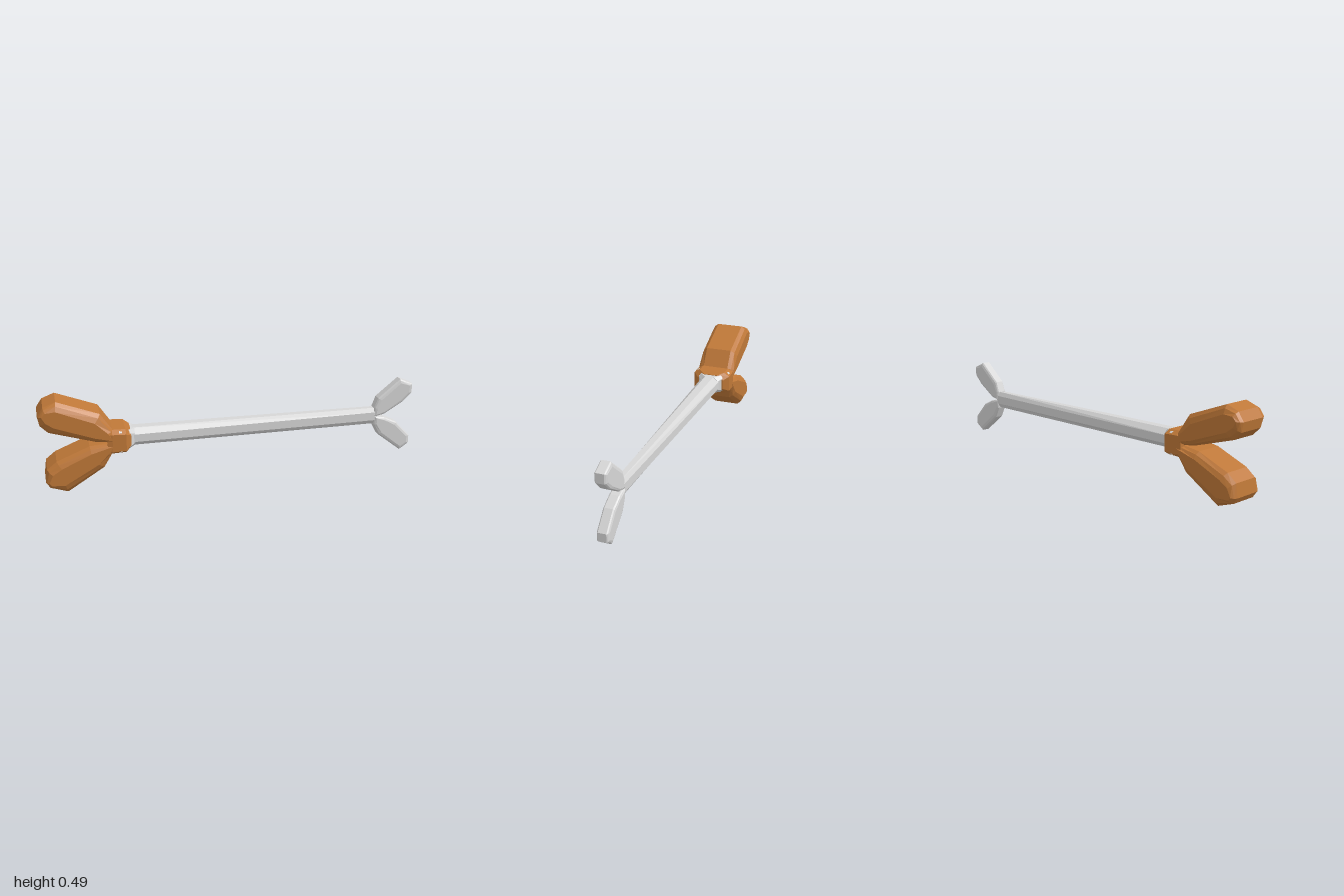
import * as THREE from 'three';

// Closed loft through rings of [x, y, z] points, with flat end caps
function loft(rings) {
  const n = rings[0].length, p = [], idx = [];
  rings.forEach(r => r.forEach(v => p.push(...v)));
  for (let i = 0; i < rings.length - 1; i++) {
    for (let j = 0; j < n; j++) {
      const a = i * n + j, b = i * n + (j + 1) % n;
      idx.push(a, b, b + n, a, b + n, a + n);
    }
  }
  [0, rings.length - 1].forEach(k => {
    const c = p.length / 3;
    for (let a = 0; a < 3; a++) p.push(rings[k].reduce((s, v) => s + v[a], 0) / n);
    for (let j = 0; j < n; j++) {
      const a = k * n + j, b = k * n + (j + 1) % n;
      idx.push(...(k === 0 ? [c, b, a] : [c, a, b]));
    }
  });
  // Turn all faces outward, judged by the enclosed volume
  const at = i => new THREE.Vector3().fromArray(p, i * 3);
  let vol = 0;
  for (let i = 0; i < idx.length; i += 3) {
    vol += at(idx[i]).dot(at(idx[i + 1]).cross(at(idx[i + 2])));
  }
  if (vol < 0) idx.reverse();
  const indexed = new THREE.BufferGeometry();
  indexed.setAttribute('position', new THREE.Float32BufferAttribute(p, 3));
  indexed.setIndex(idx);
  const g = indexed.toNonIndexed();
  g.computeVertexNormals();
  return g;
}

// Lobe: side outline, bevelled towards its long axis on both z sides
function lobe(outline, angle, core, half, along, across) {
  const n = outline.length, c = Math.cos(angle), s = Math.sin(angle);
  const cx = outline.reduce((t, q) => t + q[0], 0) / n;
  const cy = outline.reduce((t, q) => t + q[1], 0) / n;
  const ring = (z, ka, kb) => outline.map(([x, y]) => {
    const u = ((x - cx) * c + (y - cy) * s) * ka;
    const v = (-(x - cx) * s + (y - cy) * c) * kb;
    return [cx + u * c - v * s, cy + u * s + v * c, z];
  });
  const mid = (core + half) / 2 + (half - core) * 0.1;
  const steps = [
    [core, 1, 1],
    [mid, 0.5 + along / 2 + 0.02, 0.5 + across / 2 + 0.05],
    [half, along, across],
  ];
  return loft([
    ...steps.slice().reverse().map(([z, a, b]) => ring(-z, a, b)),
    ...steps.map(([z, a, b]) => ring(z, a, b)),
  ]);
}

// Eight-sided section across x: half height hy, half depth hz, corner cut k
function section(x, cy, hy, hz, k) {
  const a = hy * (1 - k), b = hz * (1 - k);
  return [[hy, b], [a, hz], [-a, hz], [-hy, b], [-hy, -b], [-a, -hz], [a, -hz], [hy, -b]]
    .map(([y, z]) => [x, cy + y, z]);
}

export function createModel() {
  const group = new THREE.Group();
  const bone = new THREE.MeshStandardMaterial({ color: 0xd6d6d6 });
  const meat = new THREE.MeshStandardMaterial({ color: 0xbf7838 });
  bone.name = 'bone grey';
  meat.name = 'roast brown';
  const add = (name, geometry, material) => {
    const mesh = new THREE.Mesh(geometry, material);
    mesh.name = name;
    group.add(mesh);
  };

  // Shaft, tapering in depth towards the bare end
  add('shaft', loft([
    section(-0.62, 0.256, 0.048, 0.058, 0.58),
    section(0.79, 0.259, 0.045, 0.027, 0.5),
    section(0.81, 0.257, 0.02, 0.022, 0.5),
  ]), bone);

  // Flared shaft root, showing at the cut corners of the collar
  add('shaftFlare', loft([
    section(-0.6, 0.256, 0.058, 0.098, 0.1),
    section(-0.575, 0.256, 0.056, 0.095, 0.12),
    section(-0.515, 0.256, 0.046, 0.052, 0.45),
  ]), bone);

  // Collar gripping the shaft
  add('collar', loft([
    section(-0.66, 0.256, 0.058, 0.1, 0.28),
    section(-0.635, 0.256, 0.065, 0.105, 0.28),
    section(-0.565, 0.256, 0.063, 0.105, 0.3),
    section(-0.537, 0.256, 0.052, 0.075, 0.5),
  ]), meat);

  // Knuckles at the bare end
  add('upperKnuckle', lobe([
    [0.79, 0.255], [0.79, 0.305], [0.81, 0.36], [0.93, 0.46],
    [1.0, 0.43], [1.0, 0.38], [0.95, 0.33], [0.85, 0.268],
  ], 0.72, 0.021, 0.031, 0.88, 0.68), bone);
  add('lowerKnuckle', lobe([
    [0.79, 0.26], [0.79, 0.21], [0.82, 0.15], [0.95, 0.05],
    [1.0, 0.085], [1.0, 0.13], [0.92, 0.215], [0.85, 0.247],
  ], -0.72, 0.021, 0.031, 0.88, 0.68), bone);

  // Meat lobes at the thick end
  add('upperMeat', lobe([
    [-0.61, 0.25], [-0.63, 0.32], [-0.69, 0.41], [-0.905, 0.49],
    [-0.97, 0.465], [-1.0, 0.42], [-0.99, 0.37], [-0.95, 0.33], [-0.72, 0.262],
  ], -0.42, 0.072, 0.105, 0.9, 0.5), meat);
  add('lowerMeat', lobe([
    [-0.61, 0.26], [-0.635, 0.195], [-0.68, 0.12], [-0.87, 0.0],
    [-0.96, 0.03], [-0.98, 0.06], [-0.97, 0.13], [-0.92, 0.17], [-0.75, 0.24],
  ], 0.47, 0.072, 0.105, 0.9, 0.5), meat);

  return group;
}
